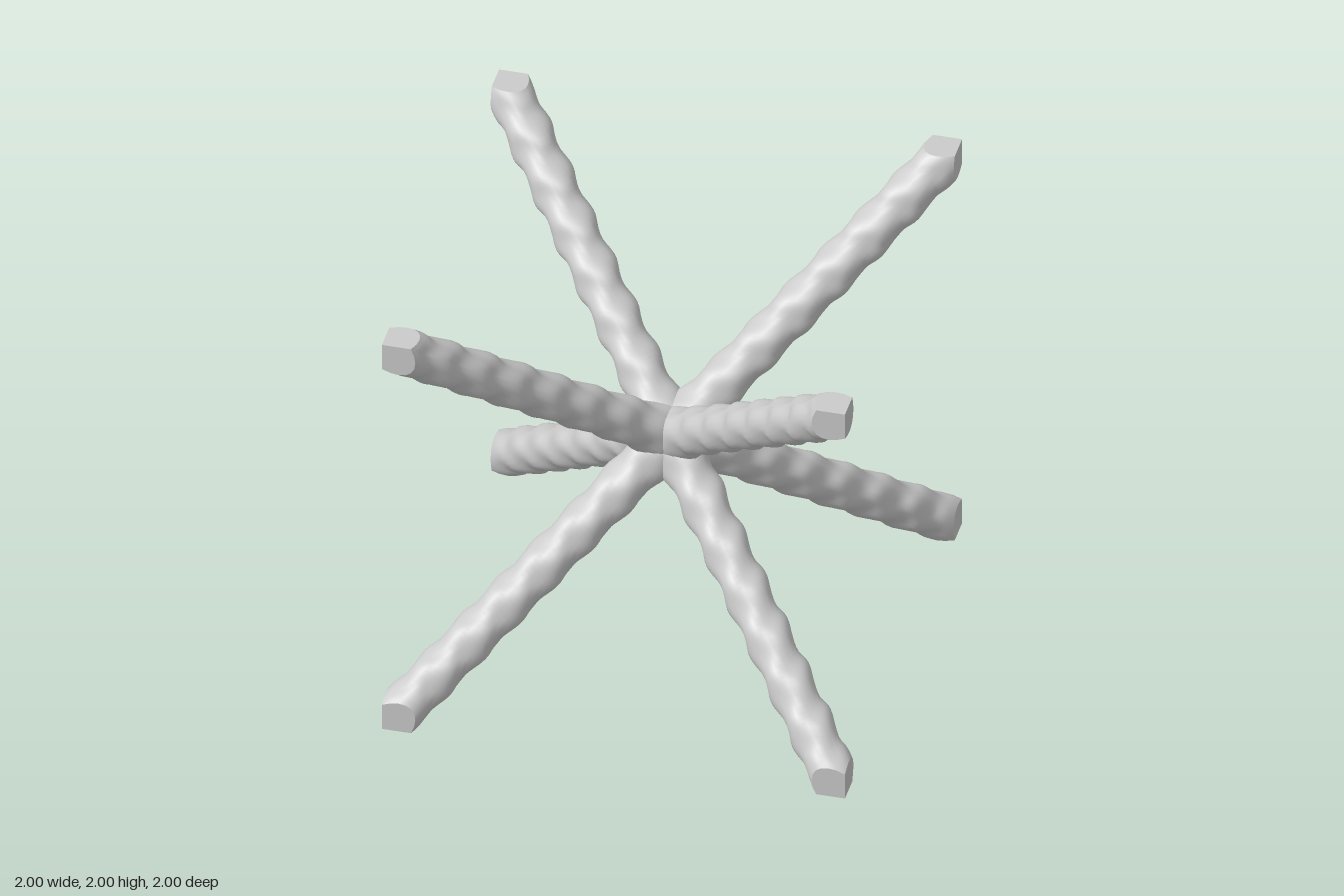
import * as THREE from 'three';

const SIDES = 24, RINGS = 72, RADIUS = 0.097, WAVE = 0.125;
const E1 = new THREE.Vector3(2, -1, -1).normalize();
const E2 = new THREE.Vector3(0, 1, -1).normalize();

// Point on the arm running from the origin to (1,1,1); s = 0 at the hub, 1 on the cube faces
function armPoint(s, j) {
  const a = (j / SIDES) * Math.PI * 2;
  const dir = E1.clone().multiplyScalar(Math.cos(a)).addScaledVector(E2, Math.sin(a));
  const at = (r) => {
    const p = dir.clone().multiplyScalar(r);
    return p.addScalar(s * (1 - Math.max(p.x, p.y, p.z)));
  };
  // gentle ripple along the arm, plus a flare into the hub
  const q = at(RADIUS);
  const ripple = [q.x, q.y, q.z].reduce((sum, v) => sum + Math.cos((v / WAVE) * Math.PI * 2), 0);
  const flare = 0.014 * Math.exp(-((s / 0.14) ** 2));
  return at(RADIUS + 0.0035 * ripple * Math.min(1, (1 - s) * 12) + flare + 0.005 * Math.max(0, 1 - (1 - s) * 12));
}

function buildGeometry(points, triangles, sign) {
  const flip = sign.x * sign.y * sign.z < 0;
  const geometry = new THREE.BufferGeometry();
  const positions = points.flatMap((p) => [p.x * sign.x, p.y * sign.y, p.z * sign.z]);
  geometry.setAttribute('position', new THREE.Float32BufferAttribute(positions, 3));
  geometry.setIndex(triangles.flatMap(([a, b, c]) => (flip ? [a, c, b] : [a, b, c])));
  return geometry;
}

// Rippled round bar
function shaftGeometry(sign) {
  const points = [], triangles = [];
  for (let i = 0; i <= RINGS; i++) {
    for (let j = 0; j < SIDES; j++) {
      points.push(armPoint(i / RINGS, j));
      if (i === RINGS) continue;
      const a = i * SIDES + j, b = i * SIDES + ((j + 1) % SIDES);
      triangles.push([a, b, a + SIDES], [b, b + SIDES, a + SIDES]);
    }
  }
  const geometry = buildGeometry(points, triangles, sign);
  geometry.computeVertexNormals();
  return geometry;
}

// Three flat faces meeting at the cube corner
function tipGeometry(sign) {
  const points = [new THREE.Vector3(1, 1, 1)], triangles = [];
  for (let j = 0; j < SIDES; j++) {
    points.push(armPoint(1, j));
    triangles.push([0, j + 1, ((j + 1) % SIDES) + 1]);
  }
  const geometry = buildGeometry(points, triangles, sign).toNonIndexed();
  geometry.computeVertexNormals();
  return geometry;
}

export function createModel() {
  const model = new THREE.Group();
  model.name = 'diagonalStrutCell';
  const material = new THREE.MeshStandardMaterial({ color: 0xcccccc });
  const add = (parent, geometry, name) => {
    const mesh = new THREE.Mesh(geometry, material);
    mesh.name = name;
    parent.add(mesh);
    return mesh;
  };

  // Eight arms to the corners of the cube
  for (const x of [-1, 1]) for (const y of [-1, 1]) for (const z of [-1, 1]) {
    const sign = new THREE.Vector3(x, y, z);
    const arm = new THREE.Group();
    arm.name = `${y > 0 ? 'upper' : 'lower'}${z > 0 ? 'Front' : 'Back'}${x > 0 ? 'Left' : 'Right'}Arm`;
    arm.position.y = 1;
    add(arm, shaftGeometry(sign), 'shaft');
    add(arm, tipGeometry(sign), 'cornerTip');
    model.add(arm);
  }

  // Hub filling the hollows between the arms
  add(model, new THREE.OctahedronGeometry(0.15), 'hub').position.y = 1;
  return model;
}
